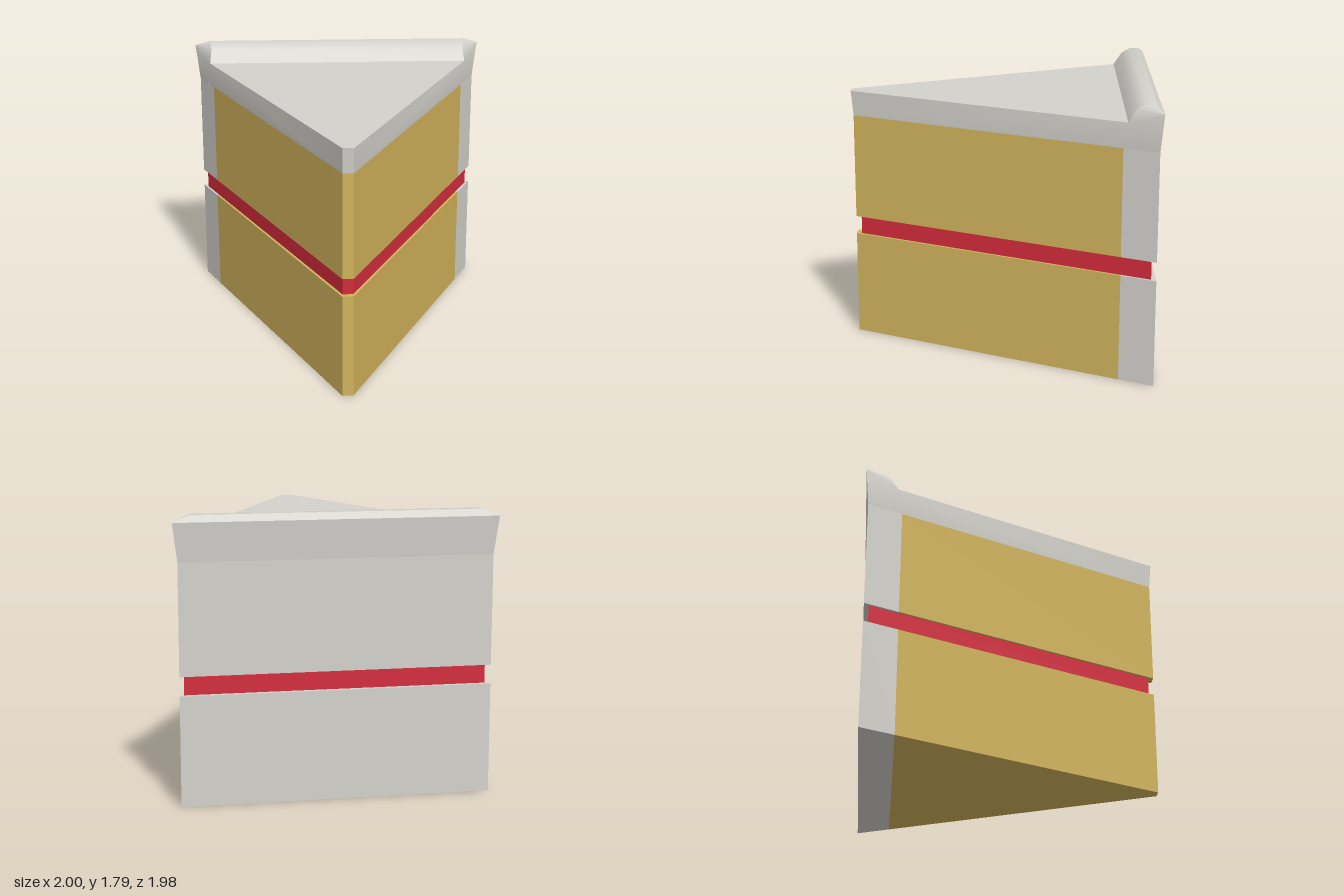
import * as THREE from 'three';
import { toCreasedNormals } from 'three/addons/utils/BufferGeometryUtils.js';

const material = (name, color) => new THREE.MeshStandardMaterial({ name, color });

// Upright slab with a trapezoid plan: half-width w0 at depth z0 (back), w1 at z1 (front)
function slab(name, mat, z0, w0, z1, w1, y0, y1) {
  const plan = new THREE.Shape([
    new THREE.Vector2(-w1, -z1), new THREE.Vector2(w1, -z1),
    new THREE.Vector2(w0, -z0), new THREE.Vector2(-w0, -z0),
  ]);
  const geo = new THREE.ExtrudeGeometry(plan, { depth: y1 - y0, bevelEnabled: false });
  geo.rotateX(-Math.PI / 2).translate(0, y0, 0);
  const mesh = new THREE.Mesh(geo, mat);
  mesh.name = name;
  return mesh;
}

// Flared icing lid with a raised rim along the back
function icingTop(mat) {
  // right-hand outline, from the tip over the rim to the back
  const outline = [
    [0.035, 1.51, 0.975], [0.035, 1.675, 0.99],
    [0.89, 1.675, -0.78], [0.88, 1.76, -0.835], [0.89, 1.79, -0.89], [0.9, 1.79, -0.95],
    [1, 1.75, -0.99], [0.97, 1.51, -0.97],
  ];
  const mirror = ([x, y, z]) => [-x, y, z];
  const pos = [];
  const tri = (a, b, c) => pos.push(...a, ...b, ...c);

  // faces that span from side to side
  for (let i = 0; i < outline.length - 1; i++) {
    const a = outline[i], b = outline[i + 1];
    tri(a, b, mirror(b));
    tri(a, mirror(b), mirror(a));
  }
  // side walls and rim ends, mirrored
  const ends = [[2, 1, 0], [2, 0, 7], [2, 7, 6], [6, 5, 4], [6, 4, 3], [6, 3, 2]];
  for (const [i, j, k] of ends) {
    tri(outline[i], outline[j], outline[k]);
    tri(mirror(outline[i]), mirror(outline[k]), mirror(outline[j]));
  }
  const geo = new THREE.BufferGeometry();
  geo.setAttribute('position', new THREE.Float32BufferAttribute(pos, 3));
  const mesh = new THREE.Mesh(toCreasedNormals(geo, 0.58), mat);
  mesh.name = 'icingTop';
  return mesh;
}

export function createModel() {
  const sponge = material('sponge', 0xd2b45c);
  const icing = material('icing', 0xd4d2cc);
  const jam = material('jam', 0xd42c3c);

  const cake = new THREE.Group();
  cake.name = 'cakeSlice';

  // two sponge layers, each with icing on the back
  for (const [label, y0, y1] of [['lower', 0, 0.695], ['upper', 0.815, 1.51]]) {
    cake.add(slab(label + 'Sponge', sponge, -0.755, 0.867, 0.975, 0.035, y0, y1));
    cake.add(slab(label + 'BackIcing', icing, -0.97, 0.97, -0.755, 0.867, y0, y1));
  }
  // recessed filling
  cake.add(slab('jamFilling', jam, -0.94, 0.94, 0.94, 0.033, 0.695, 0.815));
  cake.add(icingTop(icing));
  return cake;
}
